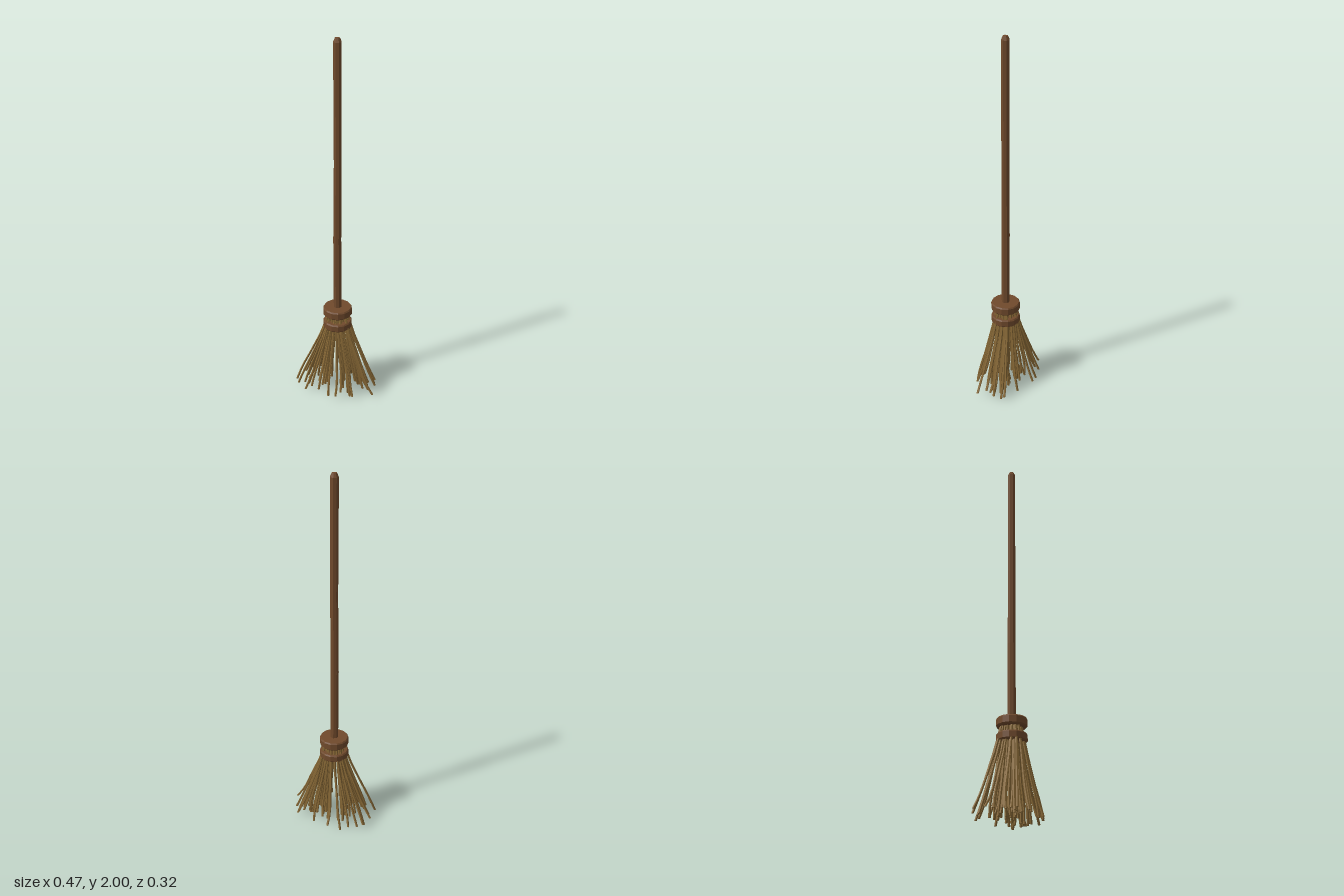
import * as THREE from 'three';
import { mergeGeometries } from 'three/addons/utils/BufferGeometryUtils.js';

const AXIS_X = -0.004, AXIS_Z = 0.012; // handle axis

// Small seeded generator, 0..1
let seed = 7;
const rand = () => (seed = (seed * 16807) % 2147483647) / 2147483647;
const spread = (a) => (rand() * 2 - 1) * a;

// Faceted copy of a geometry
function faceted(geo) {
  const g = geo.index ? geo.toNonIndexed() : geo;
  g.computeVertexNormals();
  return g;
}

function lathe(points, sides) {
  return faceted(new THREE.LatheGeometry(points.map(([r, y]) => new THREE.Vector2(r, y)), sides));
}

// One twig: a thin closed prism bent along a curve from the binding to its tip
function twig(tipX, tipZ, tipY) {
  const top = 0.49, jx = spread(0.008), jz = spread(0.008);
  const inner = Math.hypot(tipX / 0.235, tipZ / 0.16) < 0.6 ? 0.12 : 0;
  const path = new THREE.CatmullRomCurve3([
    [0.22 + inner, 0.32 + inner, top],
    [0.30 + inner, 0.43 + inner, 0.40],
    [0.66 + inner / 2, 0.70, 0.20],
    [0.85 + inner / 3, 0.86, 0.10],
    [1, 1, tipY],
  ].map(([fx, fz, y], i) => {
    const wobble = i === 4 ? 0 : i / 3;
    return new THREE.Vector3(tipX * fx + jx * wobble, y, tipZ * fz + jz * wobble + AXIS_Z * (1 - fz));
  }));
  const g = new THREE.CylinderGeometry(0.0062, 0.0068, 1, 5, 6);
  const p = g.attributes.position, c = new THREE.Vector3();
  for (let i = 0; i < p.count; i++) {
    path.getPoint(0.5 - p.getY(i), c);
    p.setXYZ(i, c.x + p.getX(i), c.y, c.z + p.getZ(i));
  }
  return faceted(g);
}

export function createModel() {
  seed = 7;
  const broom = new THREE.Group();
  broom.name = 'broom';
  const wood = new THREE.MeshStandardMaterial({ color: 0x704a2c });
  wood.name = 'brown wood';
  const straw = new THREE.MeshStandardMaterial({ color: 0x866735 });
  straw.name = 'dry straw';

  // Handle with a chamfered tip, slightly uneven along its length
  const shaft = lathe([[0, 0.41], [0.022, 0.41], [0.0225, 0.93], [0.021, 1.36], [0.022, 1.98], [0.013, 2], [0, 2]], 8);
  const pos = shaft.attributes.position;
  for (let i = 0; i < pos.count; i++) {
    const y = pos.getY(i);
    if (y > 0.9 && y < 1) pos.setX(i, pos.getX(i) - 0.002);
    if (y > 1.3 && y < 1.4) pos.setX(i, pos.getX(i) + 0.001);
  }
  shaft.computeVertexNormals();
  const handle = new THREE.Mesh(shaft, wood);
  handle.name = 'handle';
  handle.position.set(AXIS_X, 0, AXIS_Z);
  broom.add(handle);

  // Two bevelled binding rings
  for (const [name, low, high] of [['upperRing', 0.475, 0.522], ['lowerRing', 0.398, 0.442]]) {
    const b = 0.007;
    const ring = new THREE.Mesh(lathe([
      [0, low], [0.072, low], [0.079, low + b], [0.079, high - b], [0.074, high], [0, high],
    ], 14), wood);
    ring.name = name;
    ring.position.set(AXIS_X, 0, AXIS_Z);
    broom.add(ring);
  }

  // Outer twig tips (x, z)
  const tips = [
    [-0.2, -0.1], [-0.2, -0.07], [-0.165, -0.095], [-0.225, -0.03], [-0.208, 0.005],
    [-0.23, 0.075], [-0.198, 0.12], [-0.138, 0.153], [-0.175, 0.042], [-0.125, -0.138],
    [-0.08, -0.143], [-0.01, -0.157], [0.083, -0.11], [0.185, -0.08], [0.19, -0.063],
    [0.208, -0.027], [0.18, 0.01], [0.19, 0.03], [0.23, 0.063], [0.12, 0.125],
    [0.133, 0.12], [0.047, 0.153], [0, 0.148], [0.1, 0.07], [-0.065, 0.135],
    [-0.12, 0.11], [-0.155, 0.07], [0.06, 0.115], [0.01, -0.085], [-0.052, -0.085],
    [-0.17, 0.095], [-0.15, 0.085], [0.16, -0.045], [0.17, -0.01],
  ];
  // Inner twigs, leaving a narrow parting left of the middle
  while (tips.length < 70) {
    const a = rand() * Math.PI * 2, r = Math.sqrt(rand());
    const x = Math.cos(a) * r * 0.155, z = Math.sin(a) * r * 0.1 + 0.01;
    if (x < -0.05 || x > -0.008) tips.push([x, z]);
  }
  const twigs = tips.map(([x, z], i) => twig(x, z, i === 40 ? 0 : 0.008 + rand() * 0.03));
  const bristles = new THREE.Mesh(mergeGeometries(twigs), straw);
  bristles.name = 'bristles';
  broom.add(bristles);

  return broom;
}
